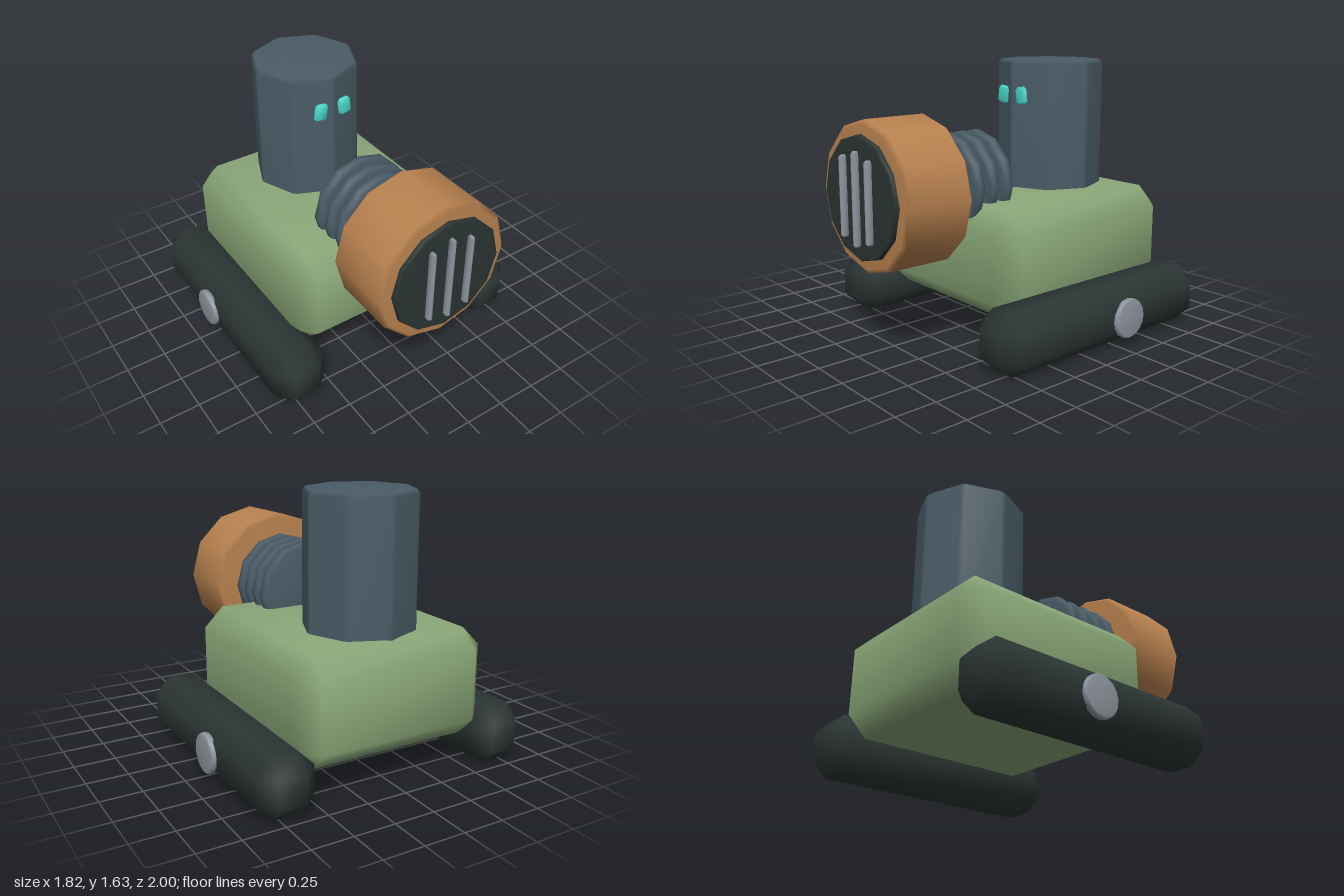
import * as THREE from 'three';
import { mergeVertices } from 'three/addons/utils/BufferGeometryUtils.js';

const paint = (name, color) => {
  const m = new THREE.MeshStandardMaterial({ color });
  m.name = name;
  return m;
};

// Closed solid from matching outlines stacked along y; sections are [y, [[x, z], ...]]
function loft(sections) {
  const pos = [], idx = [];
  const n = sections[0][1].length, last = sections.length - 1;
  for (const [y, pts] of sections) for (const [x, z] of pts) pos.push(x, y, z);
  for (let s = 0; s < last; s++) {
    for (let k = 0; k < n; k++) {
      const a = s * n + k, b = s * n + (k + 1) % n;
      idx.push(a, a + n, b, b, a + n, b + n);
    }
  }
  const bottom = pos.length / 3, top = bottom + 1;
  pos.push(0, sections[0][0], 0, 0, sections[last][0], 0);
  for (let k = 0; k < n; k++) {
    const j = (k + 1) % n;
    idx.push(bottom, k, j, top, last * n + j, last * n + k);
  }
  let g = new THREE.BufferGeometry();
  g.setAttribute('position', new THREE.Float32BufferAttribute(pos, 3));
  g.setIndex(idx);
  g = mergeVertices(g);
  g.computeVertexNormals();
  return g;
}

// Box with every edge and corner cut by c
function chamferBox(w, h, d, c) {
  const outline = (x, z, k) => [
    [x, -z + k], [x, z - k], [x - k, z], [-x + k, z],
    [-x, z - k], [-x, -z + k], [-x + k, -z], [x - k, -z],
  ];
  const x = w / 2, y = h / 2, z = d / 2;
  const cap = outline(x - c, z - c, 0), wall = outline(x, z, c);
  return loft([[-y, cap], [-y + c, wall], [y - c, wall], [y, cap]]);
}

// Bevelled prism along y; split > 0 also bevels the long edges
function prism(sides, r, h, bevel, split = 0) {
  const ring = (radius) => {
    const corner = (k) => {
      const a = (k / sides) * Math.PI * 2;
      return [Math.cos(a) * radius, Math.sin(a) * radius];
    };
    const toward = (p, q) => [p[0] + (q[0] - p[0]) * split, p[1] + (q[1] - p[1]) * split];
    const pts = [];
    for (let k = 0; k < sides; k++) {
      if (split) pts.push(toward(corner(k), corner(k - 1)), toward(corner(k), corner(k + 1)));
      else pts.push(corner(k));
    }
    return pts;
  };
  const cap = ring(r - bevel), wall = ring(r), y = h / 2;
  return loft([[-y, cap], [-y + bevel, wall], [y - bevel, wall], [y, cap]]);
}

export function createModel() {
  const green = paint('sage green', 0x8aa878);
  const copper = paint('copper', 0xb9824f);
  const slate = paint('slate blue', 0x4a5c67);
  const dark = paint('charcoal', 0x2b3533);
  const teal = paint('teal glow', 0x48d6c8);
  const grey = paint('light grey', 0x8e959e);

  const model = new THREE.Group();
  model.name = 'robot';
  const add = (name, geometry, material, x, y, z) => {
    const mesh = new THREE.Mesh(geometry, material);
    mesh.name = name;
    mesh.position.set(x, y, z);
    model.add(mesh);
    return mesh;
  };

  // Hull and head tower
  add('body', chamferBox(1.24, 0.65, 1.36, 0.12), green, 0, 0.515, -0.268);
  add('head', prism(8, 0.338, 0.9, 0.02, 0.06), slate, 0, 1.185, -0.5);

  // Treads, hubs and eyes on both sides
  for (const s of [-1, 1]) {
    const side = s > 0 ? 'left' : 'right';
    add(side + 'Tread', chamferBox(0.35, 0.356, 1.61, 0.096), dark, s * 0.705, 0.178, -0.195);
    const hub = add(side + 'Hub', prism(16, 0.12, 0.05, 0.012), grey, s * 0.885, 0.17, -0.31);
    hub.rotation.z = Math.PI / 2;
    const eye = add(side + 'Eye', chamferBox(0.088, 0.11, 0.045, 0.018), teal, s * 0.082, 1.423, -0.179);
    eye.rotation.z = s * 0.14;
  }

  // Ribbed neck discs leading to the drum
  const disc = prism(12, 0.315, 0.086, 0.024);
  for (let i = 0; i < 4; i++) {
    add('neckRib' + (i + 1), disc, slate, 0, 0.92, 0.118 + i * 0.107).rotation.x = Math.PI / 2;
  }

  // Drum with dark face plate and three bars
  add('drum', prism(12, 0.44, 0.44, 0.024), copper, 0, 0.92, 0.709).rotation.x = Math.PI / 2;
  add('facePlate', prism(12, 0.36, 0.05, 0.01), dark, 0, 0.92, 0.936).rotation.x = Math.PI / 2;
  for (const k of [-1, 0, 1]) {
    const height = k === 0 ? 0.545 : 0.475;
    add('grilleBar', chamferBox(0.034, height, 0.05, 0.013), grey, k * 0.13, 0.918, 0.975);
  }
  return model;
}
